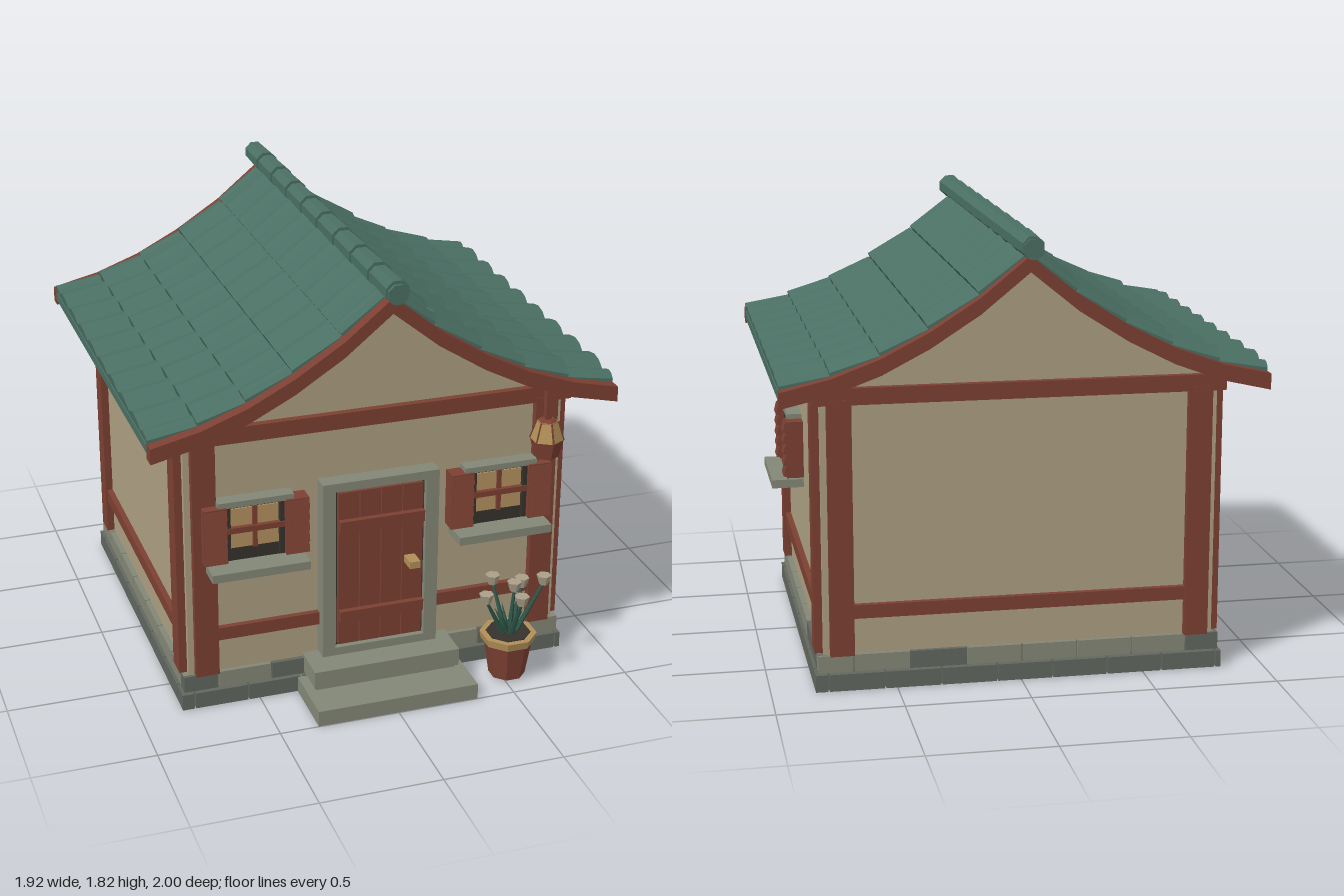
import * as THREE from 'three';

const mat = (name, color) => Object.assign(new THREE.MeshStandardMaterial({ color }), { name });
const M = {
  wall: mat('plaster', 0xad9f82),
  wood: mat('red wood', 0x7c4033),
  stone: mat('light stone', 0x838776),
  darkStone: mat('dark stone', 0x62675f),
  tile: mat('green roof tile', 0x4a6f63),
  dark: mat('dark frame', 0x36332d),
  pane: mat('warm glass', 0xb5925f),
  brass: mat('brass', 0xb08f58),
  leaf: mat('leaf', 0x2f5548),
  petal: mat('petal', 0xaba189),
};

function add(parent, name, geo, material, x = 0, y = 0, z = 0) {
  const m = new THREE.Mesh(geo, material);
  m.name = name;
  m.position.set(x, y, z);
  parent.add(m);
  return m;
}
// Box given by its limits
const box = (p, name, m, x0, x1, y0, y1, z0, z1) =>
  add(p, name, new THREE.BoxGeometry(x1 - x0, y1 - y0, z1 - z0), m, (x0 + x1) / 2, (y0 + y1) / 2, (z0 + z1) / 2);
// Faceted cylinder
function prism(rTop, rBottom, h, sides) {
  const g = new THREE.CylinderGeometry(rTop, rBottom, h, sides).toNonIndexed();
  g.computeVertexNormals();
  return g;
}
function group(parent, name, x = 0, y = 0, z = 0, ry = 0) {
  const g = new THREE.Group();
  g.name = name;
  g.position.set(x, y, z);
  g.rotation.y = ry;
  parent.add(g);
  return g;
}
const extrude = (pts, depth) =>
  new THREE.ExtrudeGeometry(new THREE.Shape(pts.map(p => new THREE.Vector2(...p))), { depth, bevelEnabled: false });

const CZ = -0.04; // centre of the house in z
// Half profile of the sweeping roof, ridge to eave
const ROOF = [[0, 1.735], [0.19, 1.58], [0.385, 1.455], [0.57, 1.36], [0.76, 1.29], [0.955, 1.245]];
const mirrored = dy => [...ROOF.slice(1).reverse().map(([x, y]) => [-x, y + dy]), ...ROOF.map(([x, y]) => [x, y + dy])];
const roofBand = (top, bottom, depth) => extrude([...mirrored(bottom), ...mirrored(top).reverse()], depth);

function buildFoundation(root) {
  const f = group(root, 'foundation', 0, 0, CZ);
  box(f, 'foundationCore', M.darkStone, -0.8, 0.8, 0.004, 0.148, -0.735, 0.735);
  let seed = 7;
  const rand = () => (seed = (seed * 16807) % 2147483647) / 2147483647;
  for (let side = 0; side < 4; side++) {
    const g = group(f, 'brickSide', 0, 0, 0, side * Math.PI / 2);
    for (let row = 0; row < 2; row++) {
      const out = row ? -0.012 : 0;
      const hw = (side % 2 ? 0.735 : 0.825) + (side % 2 ? 0 : out), face = (side % 2 ? 0.825 : 0.76) + out;
      const step = 0.225;
      for (let x = -hw - (row ? 0.08 : 0.17); x < hw; x += step) {
        const a = Math.max(x, -hw), b = Math.min(x + step - 0.006, hw);
        if (b - a < 0.02) continue;
        const light = row && rand() > 0.45;
        box(g, 'brick', light ? M.stone : M.darkStone, a, b, row ? 0.08 : 0.006, row ? 0.15 : 0.075, face - 0.06, face);
      }
    }
  }
  // Entrance steps
  box(root, 'lowerStep', M.stone, -0.34, 0.34, 0.005, 0.072, 0.7, 1);
  box(root, 'upperStep', M.stone, -0.31, 0.31, 0.09, 0.165, 0.68, 0.86);
  box(root, 'stepCore', M.stone, -0.3, 0.3, 0.07, 0.092, 0.7, 0.84);
}

function buildWalls(root) {
  const eave = [[0.79, 1.25], [0.57, 1.33], [0.385, 1.42], [0.19, 1.54]];
  const outline = [[-0.79, 0.14], [0.79, 0.14], ...eave, [0, 1.69], ...eave.slice().reverse().map(([x, y]) => [-x, y])];
  add(root, 'walls', extrude(outline, 1.46), M.wall, 0, 0, CZ - 0.73);
  // Timber frame on each side
  for (let i = 0; i < 4; i++) {
    const [hw, face] = i % 2 ? [0.73, 0.79] : [0.79, 0.73];
    const g = group(root, 'timberFrame', 0, 0, CZ, i * Math.PI / 2);
    for (const s of [-1, 1]) {
      const c = s * (hw - 0.073);
      box(g, 'cornerPost', M.wood, c - 0.048, c + 0.048, 0.15, 1.18, face - 0.02, face + 0.032);
    }
    box(g, 'topBeam', M.wood, -hw - 0.03, hw + 0.03, 1.16, 1.226, face - 0.03, face + 0.03);
    box(g, 'lowerRail', M.wood, -hw + 0.07, hw - 0.07, 0.3, 0.355, face - 0.02, face + 0.024);
  }
}

function buildRoof(root) {
  const r = group(root, 'roof');
  add(r, 'roofDeck', roofBand(0, -0.035, 1.7), M.tile, 0, 0, -0.89);
  for (const z of [0.805, -0.942]) add(r, 'vergeBoard', roofBand(0.006, -0.058, 0.06), M.wood, 0, 0, z);

  // Arched tiles in staggered rows
  const W = 0.19, z0 = -0.895, z1 = 0.815;
  for (const s of [-1, 1]) for (let i = 0; i < 5; i++) {
    const a = new THREE.Vector3(s * ROOF[i][0], ROOF[i][1], 0), b = new THREE.Vector3(s * ROOF[i + 1][0], ROOF[i + 1][1] + 0.012, 0);
    const len = a.distanceTo(b), d = b.clone().sub(a).normalize();
    const n = new THREE.Vector3(-s * d.y, s * d.x, 0);
    const ax = n.clone().cross(d);
    for (let k = 0; k <= 9; k++) {
      const start = z0 + (k - (i % 2 ? 0 : 0.5)) * W;
      const lo = Math.max(start, z0), hi = Math.min(start + W, z1), w = hi - lo;
      if (w < 0.02) continue;
      const arch = [];
      for (let j = 0; j <= 4; j++) {
        const t = -1 + j / 2;
        arch.push([t * w / 2, 0.008 + 0.034 * Math.min(1, w / 0.15) * (1 - t * t)]);
      }
      const g = extrude([[-w / 2, -0.012], [w / 2, -0.012], ...arch.reverse()], len * 0.99);
      g.applyMatrix4(new THREE.Matrix4().makeBasis(ax, n, d).setPosition(a.x, a.y, (lo + hi) / 2));
      add(r, 'roofTile', g, M.tile);
    }
  }

  // Ridge pole with cap tiles
  add(r, 'ridgePole', prism(0.042, 0.042, 1.92, 8).rotateY(Math.PI / 8).rotateX(Math.PI / 2), M.tile, 0, 1.772, CZ);
  for (let k = 0; k < 9; k++)
    add(r, 'ridgeCap', prism(0.05, 0.045, 0.192, 8).rotateY(Math.PI / 8).rotateX(Math.PI / 2), M.tile, 0, 1.778, -0.893 + k * 0.213);
}

function buildWindow(root, x, y, z, ry) {
  const g = group(root, 'window', x, y, z, ry);
  box(g, 'windowFrame', M.dark, -0.118, 0.118, -0.135, 0.115, -0.01, 0.03);
  for (const s of [-1, 1]) {
    for (const py of [-0.037, 0.053])
      box(g, 'windowPane', M.pane, s * 0.054 - 0.044, s * 0.054 + 0.044, py - 0.04, py + 0.04, 0.029, 0.036);
    // Slatted shutters
    box(g, 'shutter', M.wood, s * 0.168 - 0.047, s * 0.168 + 0.047, -0.125, 0.115, 0, 0.07);
    for (let i = 0; i < 5; i++) {
      const slat = box(g, 'shutterSlat', M.wood, s * 0.168 - 0.045, s * 0.168 + 0.045, -0.02, 0.02, 0.06, 0.08);
      slat.position.y = -0.1 + i * 0.047;
      slat.rotation.x = -0.25;
    }
    box(g, 'frameSide', M.dark, s * 0.11 - 0.009, s * 0.11 + 0.009, -0.125, 0.11, 0, 0.05);
  }
  box(g, 'crossBar', M.wood, -0.12, 0.12, -0.006, 0.018, 0.03, 0.055);
  box(g, 'uprightBar', M.wood, -0.009, 0.009, -0.08, 0.1, 0.03, 0.045);
  box(g, 'sill', M.stone, -0.2, 0.2, -0.17, -0.135, 0, 0.132);
  box(g, 'lintel', M.stone, -0.155, 0.155, 0.11, 0.135, 0, 0.06);
}

function buildDoor(root) {
  const g = group(root, 'door', 0, 0, 0.69);
  const hole = [[-0.19, 0.205], [0.19, 0.205], [0.19, 0.908], [-0.19, 0.908]];
  const shape = new THREE.Shape([[-0.245, 0.17], [0.245, 0.17], [0.245, 0.945], [-0.245, 0.945]].map(p => new THREE.Vector2(...p)));
  shape.holes.push(new THREE.Path(hole.map(p => new THREE.Vector2(...p))));
  add(g, 'doorSurround', new THREE.ExtrudeGeometry(shape, { depth: 0.07, bevelEnabled: false }), M.stone);
  box(g, 'doorRecess', M.dark, -0.19, 0.19, 0.2, 0.91, 0, 0.045);
  for (let i = 0; i < 4; i++) {
    const x = -0.18 + i * 0.09;
    box(g, 'doorPlank', M.wood, x + 0.002, x + 0.088, 0.218, 0.9, 0.03, 0.068);
  }
  for (const y of [0.735, 0.33]) box(g, 'doorBatten', M.wood, -0.178, 0.178, y, y + 0.048, 0.06, 0.092);
  box(g, 'doorHandle', M.brass, 0.1, 0.145, 0.553, 0.583, 0.06, 0.138);
}

function buildLantern(root) {
  const g = group(root, 'lantern', 0.69, 0, 0.79);
  box(g, 'lanternStrap', M.wood, -0.013, 0.013, 1.1, 1.26, -0.013, 0.013);
  add(g, 'lanternShade', prism(0.042, 0.068, 0.08, 6), M.brass, 0, 1.07, 0);
  add(g, 'lanternBase', prism(0.068, 0.05, 0.075, 6), M.wood, 0, 0.992, 0);
  add(g, 'lanternCap', prism(0.03, 0.044, 0.012, 6), M.wood, 0, 1.113, 0);
  // Ribs along the shade edges
  for (let i = 0; i < 6; i++) {
    const a = i * Math.PI / 3;
    const rib = new THREE.LineCurve3(new THREE.Vector3(Math.sin(a) * 0.068, 1.03, Math.cos(a) * 0.068), new THREE.Vector3(Math.sin(a) * 0.042, 1.11, Math.cos(a) * 0.042));
    add(g, 'lanternRib', new THREE.TubeGeometry(rib, 1, 0.004, 4), M.wood);
  }
}

function buildPlant(root) {
  const g = group(root, 'flowerPot', 0.527, 0, 0.855);
  add(g, 'pot', prism(0.102, 0.075, 0.17, 8).rotateY(Math.PI / 8), M.wood, 0, 0.1, 0);
  add(g, 'potRim', prism(0.118, 0.112, 0.033, 8).rotateY(Math.PI / 8), M.brass, 0, 0.19, 0);
  add(g, 'soil', prism(0.092, 0.092, 0.006, 8).rotateY(Math.PI / 8), M.dark, 0, 0.207, 0);
  const up = new THREE.Vector3(0, 1, 0);
  const heads = [[-0.11, 0.375, 0.02], [-0.035, 0.39, -0.1], [0.02, 0.4, 0], [0.145, 0.415, 0.01], [0.005, 0.395, 0.115], [0.075, 0.385, -0.05]];
  for (const [x, y, z] of heads) {
    const foot = new THREE.Vector3(x * 0.2, 0.2, z * 0.2), tip = new THREE.Vector3(x, y, z);
    const dir = tip.clone().sub(foot), mid = foot.clone().add(tip).multiplyScalar(0.5);
    const stem = add(g, 'stem', prism(0.006, 0.013, dir.length(), 5), M.leaf, mid.x, mid.y, mid.z);
    stem.quaternion.setFromUnitVectors(up, dir.normalize());
    add(g, 'flower', prism(0.031, 0.018, 0.042, 6), M.petal, x, y + 0.015, z);
  }
  // Short pointed leaves
  for (let i = 0; i < 6; i++) {
    const a = i * Math.PI / 3 + 0.4, dir = new THREE.Vector3(Math.cos(a) * 0.5, 1, Math.sin(a) * 0.5).normalize();
    const leaf = add(g, 'leaf', prism(0, 0.014, 0.13, 4), M.leaf, dir.x * 0.07, 0.2 + dir.y * 0.065, dir.z * 0.07);
    leaf.quaternion.setFromUnitVectors(up, dir);
  }
}

export function createModel() {
  const root = new THREE.Group();
  root.name = 'cottage';
  buildFoundation(root);
  buildWalls(root);
  buildRoof(root);
  for (const s of [-1, 1]) buildWindow(root, s * 0.515, 0.79, 0.69, 0);
  buildWindow(root, 0.79, 0.82, 0.115, Math.PI / 2);
  buildDoor(root);
  buildLantern(root);
  buildPlant(root);
  return root;
}
